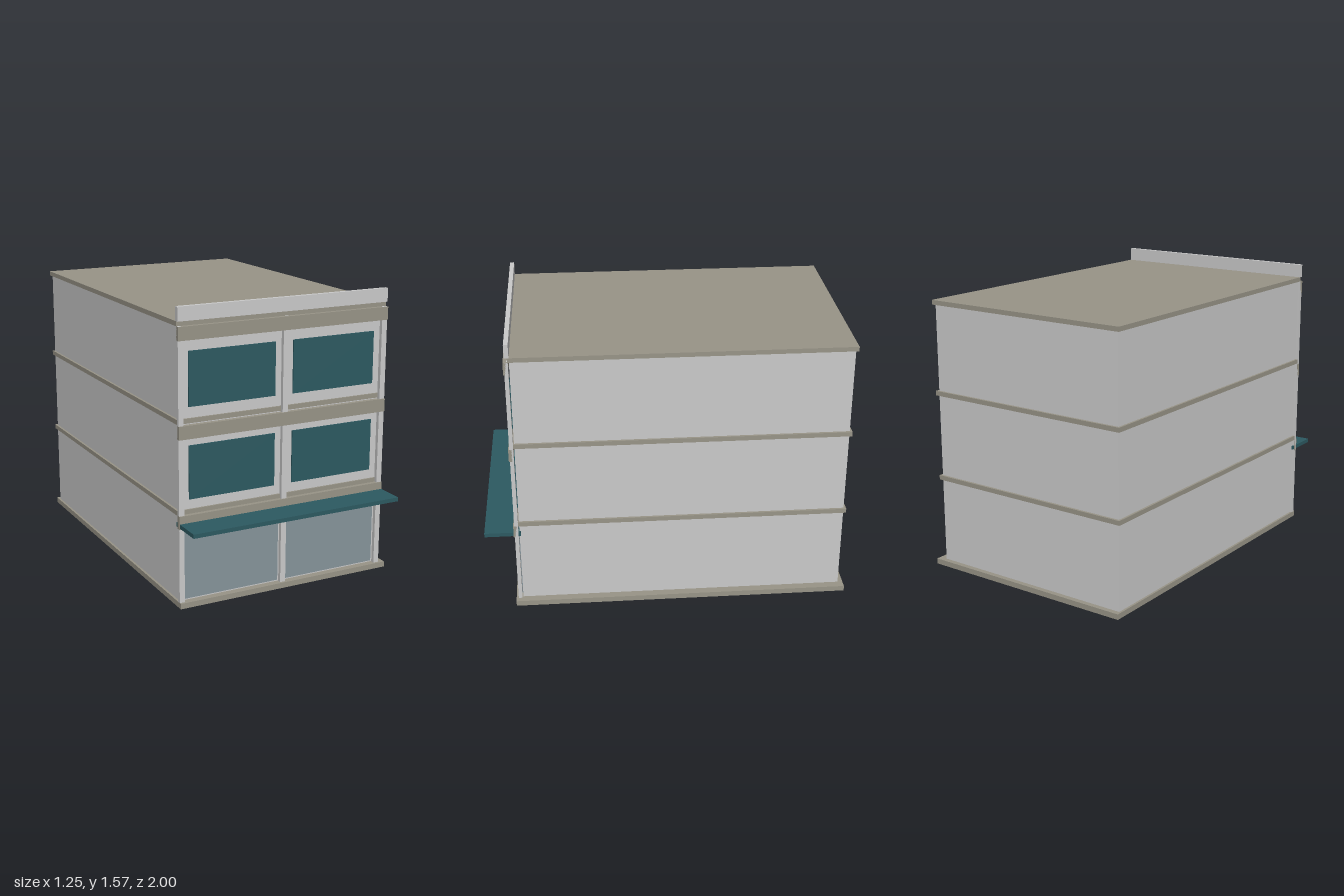
import * as THREE from 'three';

export function createModel() {
  const group = new THREE.Group();
  group.name = 'shopBuilding';

  const material = (name, color) => {
    const m = new THREE.MeshStandardMaterial({ color });
    m.name = name;
    return m;
  };
  const wall = material('pale grey wall', 0xcbcbcb);
  const stone = material('khaki stone', 0x999588);
  const teal = material('dark teal', 0x2d5a62);
  const glass = material('shop glass', 0x87959c);

  // Box given by its lower and upper limits on each axis
  const box = (name, mat, x0, x1, y0, y1, z0, z1) => {
    const mesh = new THREE.Mesh(new THREE.BoxGeometry(x1 - x0, y1 - y0, z1 - z0), mat);
    mesh.position.set((x0 + x1) / 2, (y0 + y1) / 2, (z0 + z1) / 2);
    mesh.name = name;
    group.add(mesh);
  };

  const L = -0.627, R = 0.595; // facade edges

  // Base plate, wider on one side
  box('basePlate', stone, L, 0.627, 0, 0.03, -1, 0.848);

  // Three storeys, each with a slab that overhangs the walls
  const slabTops = [0.523, 1.0, 1.495];
  let floor = 0.03;
  slabTops.forEach((top) => {
    const bottom = top - 0.025;
    box('storeyWalls', wall, L + 0.012, R - 0.013, floor, bottom, -0.972, 0.81);
    box('floorSlab', stone, L, R, bottom, top, -0.985, 0.819);
    floor = top;
  });

  // Facade columns
  for (const [x0, x1] of [[L, -0.598], [-0.034, -0.003], [0.564, R]]) {
    box('facadeColumn', wall, x0, x1, 0.03, 1.47, 0.815, 0.836);
  }

  // Bands across the facade and the parapet above the roof
  for (const [y0, y1] of [[0.43, 0.5], [0.9, 0.97], [1.4, 1.47]]) {
    box('facadeBand', stone, L, R, y0, y1, 0.817, 0.842);
  }
  box('parapet', wall, L, R, 1.495, 1.568, 0.81, 0.834);

  // Upper windows and shop glazing, one of each per bay
  for (const [x0, x1] of [[-0.56, -0.068], [0.037, 0.527]]) {
    for (const y of [0.575, 1.058]) {
      box('window', teal, x0, x1, y, y + 0.283, 0.809, 0.817);
    }
  }
  for (const [x0, x1] of [[-0.592, -0.04], [0.003, 0.557]]) {
    box('shopGlazing', glass, x0, x1, 0.038, 0.428, 0.809, 0.815);
  }

  // Flat awning over the shop front
  box('awning', teal, L + 0.001, R - 0.001, 0.438, 0.46, 0.803, 1);

  return group;
}
